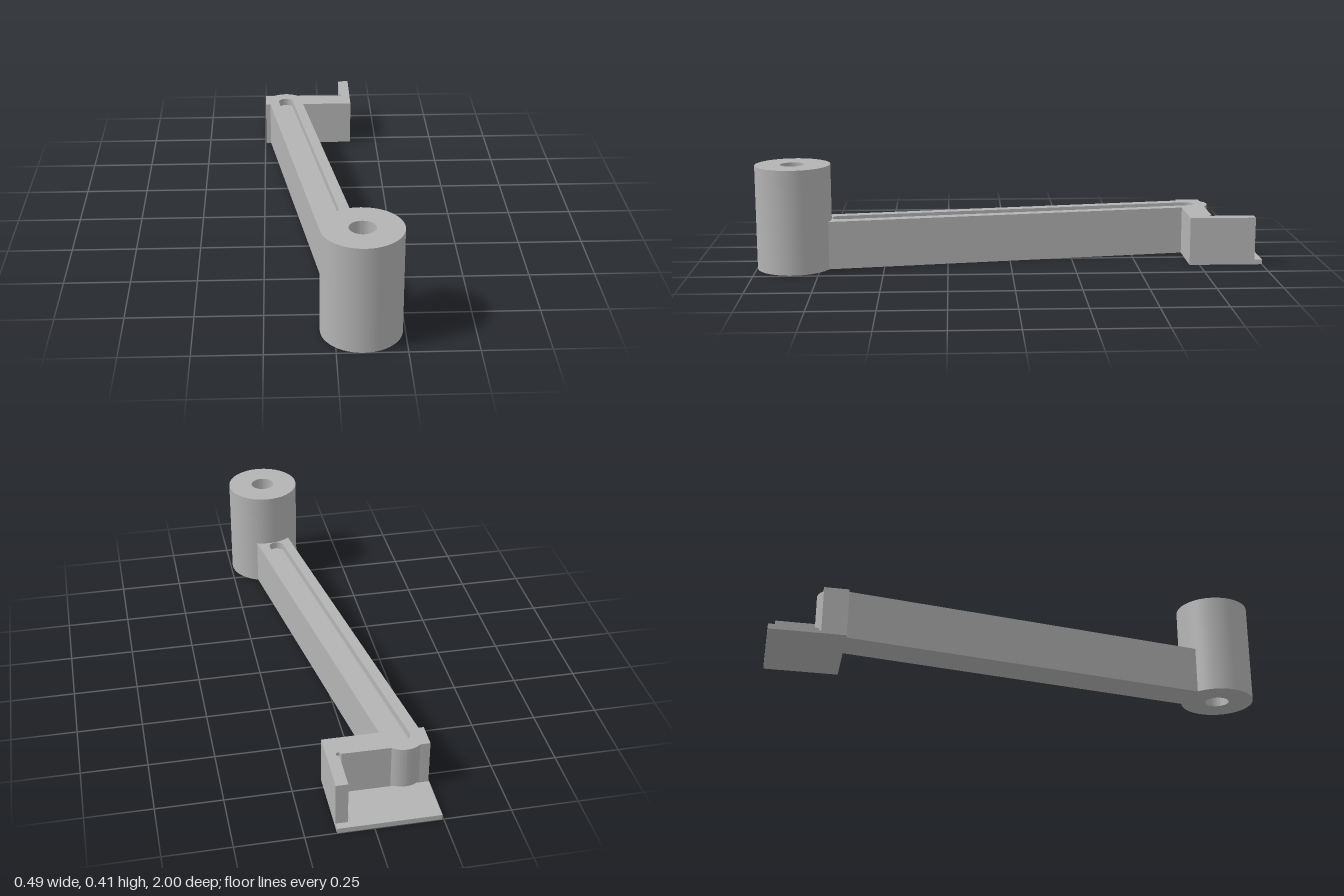
import * as THREE from 'three';
import { toCreasedNormals } from 'three/addons/utils/BufferGeometryUtils.js';

const grey = new THREE.MeshStandardMaterial({ color: 0xb4b4b4 });
grey.name = 'plain grey';

// Extrude a plan-view shape (drawn as x, -z) upward from y0 to y1.
function slab(name, shape, y0, y1) {
  const geo = new THREE.ExtrudeGeometry(shape, { depth: y1 - y0, bevelEnabled: false, curveSegments: 32 });
  geo.rotateX(-Math.PI / 2);
  geo.translate(0, y0, 0);
  const mesh = new THREE.Mesh(toCreasedNormals(geo, 0.5), grey);
  mesh.name = name;
  return mesh;
}

// Polygon from [x, z] corners.
const plan = (pts) => new THREE.Shape(pts.map(([x, z]) => new THREE.Vector2(x, -z)));

// Points along an arc in plan, angles measured from +x towards -z.
function arc(cx, cz, r, a0, a1, n) {
  return Array.from({ length: n + 1 }, (_, i) => {
    const a = a0 + (a1 - a0) * i / n;
    return [cx + r * Math.cos(a), cz - r * Math.sin(a)];
  });
}

// Arm sides and the front of the bracket, shared by every layer.
const armEdge = [[-0.245, -0.71], [-0.225, -0.71], [0.006, 0.76], [0.153, 0.76], [-0.078, -0.71], [0.135, -0.71]];

// Bracket walls: side wall, relieved inner corner, rounded boss.
function wallOutline() {
  const a = Math.asin(0.06 / 0.08);
  return plan([
    ...armEdge,
    [0.135, -0.97], [0.09, -0.97],
    ...arc(0.09, -0.803, 0.01, Math.PI / 2, -Math.PI, 12),
    ...arc(-0.155, -0.745, 0.08, a, Math.PI - a, 20),
    [-0.245, -0.805],
  ]);
}

// Rounded slot following the arm's centre line.
function slotPath() {
  const tilt = Math.atan2(0.22, 1.415);
  return plan([
    ...arc(-0.155, -0.74, 0.031, tilt, Math.PI + tilt, 14),
    ...arc(0.065, 0.675, 0.031, Math.PI + tilt, 2 * Math.PI + tilt, 14),
  ]);
}

export function createModel() {
  const model = new THREE.Group();
  model.name = 'bracketArm';

  // Base layer including the tray floor
  model.add(slab('base', plan([...armEdge, [0.135, -1], [-0.245, -1]]), 0, 0.01));

  // Solid body, then the top layer with the slot cut in it
  model.add(slab('armAndWalls', wallOutline(), 0.01, 0.16));
  const rim = wallOutline();
  rim.holes.push(slotPath());
  model.add(slab('slottedTop', rim, 0.16, 0.19));

  // Raised tray floor, leaving narrow grooves along the walls
  model.add(slab('trayFloor', plan([
    [-0.245, -0.813], [0.081, -0.813], [0.081, -0.972], [0.135, -0.972], [0.135, -1], [-0.245, -1],
  ]), 0.01, 0.02));

  // Tall bored post
  const ring = new THREE.Shape().absarc(0.095, -0.853, 0.147, 0, Math.PI * 2);
  ring.holes.push(new THREE.Path().absarc(0.095, -0.853, 0.048, 0, Math.PI * 2, true));
  model.add(slab('post', ring, 0, 0.41));

  return model;
}
